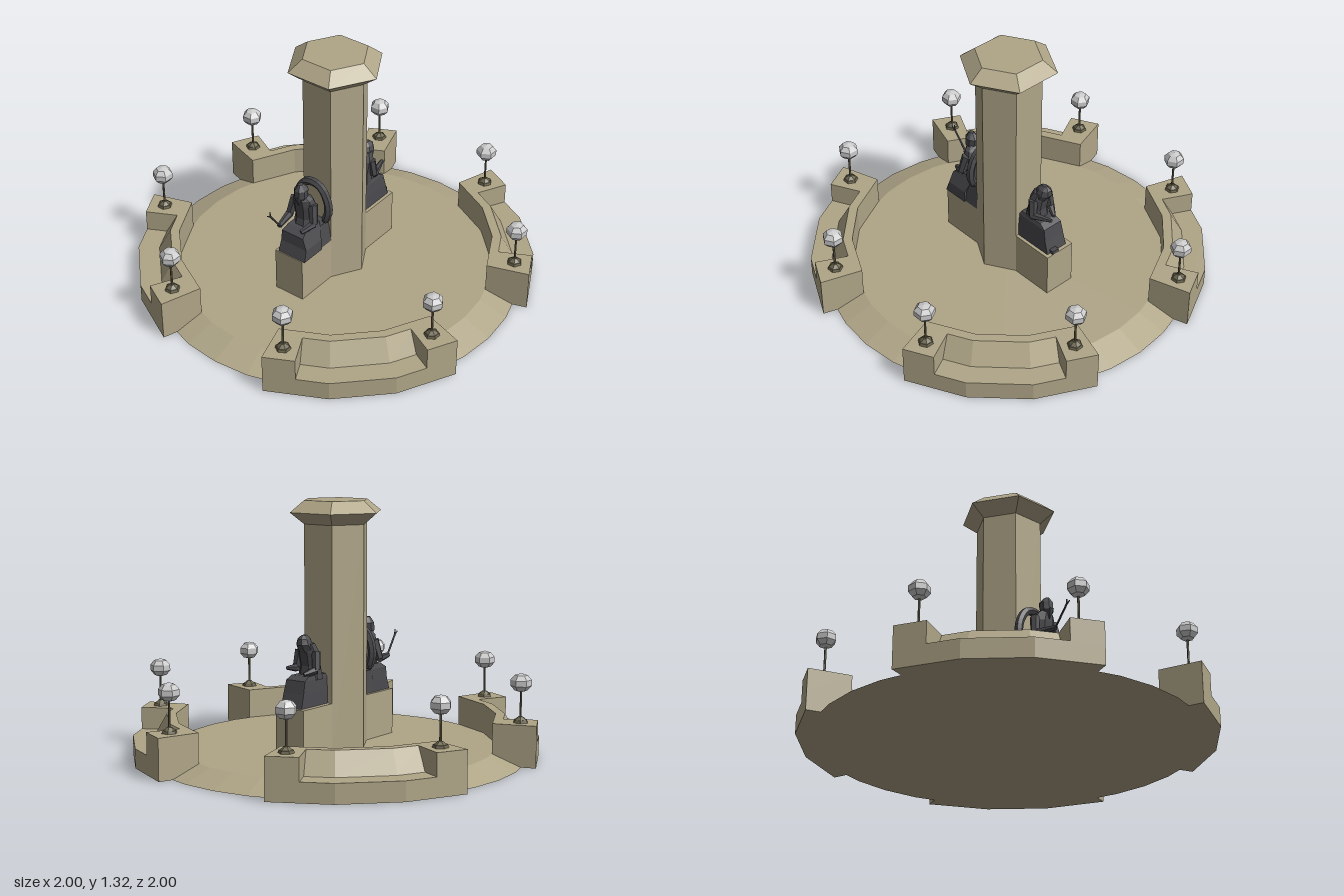
import * as THREE from 'three';

const stone = new THREE.MeshStandardMaterial({ color: 0xb0a688, flatShading: true });
const bronze = new THREE.MeshStandardMaterial({ color: 0x4a4a4e, flatShading: true });
const iron = new THREE.MeshStandardMaterial({ color: 0x6e6850, flatShading: true });
const glass = new THREE.MeshStandardMaterial({ color: 0xcccccc, flatShading: true });

function add(parent, name, geometry, material, x = 0, y = 0, z = 0) {
  const mesh = new THREE.Mesh(geometry, material);
  mesh.name = name;
  mesh.position.set(x, y, z);
  parent.add(mesh);
  return mesh;
}

// Closed solid through plan outlines: sections = [[y, [[x, z], ...]], ...] from bottom to top
function loft(sections) {
  const flat = (pts) => pts.map(([x, z]) => new THREE.Vector2(x, -z));
  const flip = THREE.ShapeUtils.area(flat(sections[0][1])) < 0;
  const rings = sections.map(([y, pts]) => [y, flip ? [...pts].reverse() : pts]);
  const n = rings[0][1].length;
  const pos = [], index = [];
  rings.forEach(([y, pts]) => pts.forEach(([x, z]) => pos.push(x, y, z)));
  for (let r = 0; r < rings.length - 1; r++) {
    for (let i = 0; i < n; i++) {
      const a = r * n + i, b = r * n + (i + 1) % n;
      index.push(a, b, b + n, a, b + n, a + n);
    }
  }
  const last = (rings.length - 1) * n;
  THREE.ShapeUtils.triangulateShape(flat(rings[0][1]), []).forEach(([a, b, c]) => index.push(a, c, b));
  THREE.ShapeUtils.triangulateShape(flat(rings[rings.length - 1][1]), [])
    .forEach(([a, b, c]) => index.push(last + a, last + b, last + c));
  const g = new THREE.BufferGeometry();
  g.setAttribute('position', new THREE.Float32BufferAttribute(pos, 3));
  g.setIndex(index);
  const out = g.toNonIndexed();
  out.computeVertexNormals();
  return out;
}

// Elliptical cross-section for the figures
function oval(y, x, z, rx, rz, n = 8) {
  return [y, Array.from({ length: n }, (_, i) => {
    const a = (i + 0.5) * 2 * Math.PI / n;
    return [x + rx * Math.cos(a), z + rz * Math.sin(a)];
  })];
}

function rect(y, x0, x1, z0, z1) {
  return [y, [[x0, z0], [x1, z0], [x1, z1], [x0, z1]]];
}

// Tapered limb or rod between two points
function rod(parent, name, from, to, r0, r1, material = bronze, sides = 6) {
  const a = new THREE.Vector3(...from), b = new THREE.Vector3(...to);
  const dir = b.clone().sub(a);
  const mesh = add(parent, name, new THREE.CylinderGeometry(r1, r0, dir.length(), sides), material);
  mesh.position.copy(a).add(b).multiplyScalar(0.5);
  mesh.quaternion.setFromUnitVectors(new THREE.Vector3(0, 1, 0), dir.normalize());
  return mesh;
}

// Points on the 18-degree polygon; 27 and 63 degrees lie on the middle of an edge
function arc(radius, degrees) {
  return degrees.map((d) => {
    const r = radius * (d % 18 ? Math.cos(Math.PI / 20) : 1);
    const a = THREE.MathUtils.degToRad(d);
    return [r * Math.cos(a), r * Math.sin(a)];
  });
}
const band = (inner, outer, degrees) => [...arc(outer, degrees), ...arc(inner, degrees).reverse()];

function makeLamp() {
  const lamp = new THREE.Group();
  lamp.name = 'lamp';
  add(lamp, 'lampFoot', new THREE.CylinderGeometry(0.036, 0.04, 0.014, 6), iron, 0, 0.007);
  add(lamp, 'lampCollar', new THREE.CylinderGeometry(0.012, 0.032, 0.016, 6), iron, 0, 0.022);
  add(lamp, 'lampStem', new THREE.CylinderGeometry(0.006, 0.006, 0.15, 6), iron, 0, 0.09);
  add(lamp, 'lampGlobe', new THREE.SphereGeometry(0.056, 6, 5), glass, 0, 0.203).scale.y = 0.86;
  return lamp;
}

// One quarter wall: a bench facing outward between two piers with lamps
function makeBench() {
  const bench = new THREE.Group();
  bench.name = 'bench';
  const inner = 0.827, outer = 1.052, seatY = 0.1, topY = 0.215;
  const mid = [27, 36, 54, 63];
  const lower = band(inner, outer, [18, 36, 54, 72]);
  add(bench, 'benchSeat', loft([[0, lower], [seatY, lower]]), stone);
  add(bench, 'benchBack', loft([[seatY, band(inner, 0.94, mid)], [topY, band(inner, 0.875, mid)]]), stone);
  for (const ends of [[18, 27], [63, 72]]) {
    const plan = band(inner, outer, ends);
    add(bench, 'pier', loft([[seatY, plan], [topY, plan]]), stone);
  }
  for (const [x, z] of [[0.365, 0.885], [0.875, 0.365]]) {
    const lamp = makeLamp();
    lamp.position.set(x, topY, z);
    bench.add(lamp);
  }
  return bench;
}

// Seated figure with a forked staff and a curling mantle behind the shoulders
function makeFrontFigure() {
  const f = new THREE.Group();
  f.name = 'frontFigure';
  add(f, 'seat', loft([rect(0.3, -0.07, 0.09, 0.15, 0.3), rect(0.42, -0.065, 0.07, 0.15, 0.29)]), bronze);
  add(f, 'legs', loft([rect(0.3, -0.07, 0.1, 0.24, 0.385), rect(0.36, -0.068, 0.095, 0.24, 0.365),
    rect(0.42, -0.065, 0.07, 0.22, 0.36), rect(0.445, -0.055, 0.06, 0.21, 0.32)]), bronze);
  add(f, 'torso', loft([oval(0.41, 0, 0.245, 0.068, 0.07), oval(0.48, 0, 0.245, 0.058, 0.05),
    oval(0.56, 0, 0.255, 0.07, 0.05), oval(0.6, 0, 0.265, 0.055, 0.042), oval(0.62, 0, 0.275, 0.028, 0.028)]), bronze);
  add(f, 'head', loft([oval(0.595, 0, 0.285, 0.022, 0.02), oval(0.62, 0, 0.285, 0.036, 0.036),
    oval(0.66, 0, 0.28, 0.036, 0.04), oval(0.69, 0, 0.285, 0.012, 0.016)]), bronze);
  add(f, 'beard', new THREE.ConeGeometry(0.022, 0.06, 5), bronze, 0, 0.595, 0.305).rotation.x = Math.PI;
  for (const s of [-1, 1]) {
    const elbow = [s * 0.078, 0.475, 0.28];
    rod(f, 'upperArm', [s * 0.058, 0.575, 0.26], elbow, 0.026, 0.022);
    rod(f, 'forearm', elbow, s < 0 ? [-0.05, 0.475, 0.4] : [0.05, 0.45, 0.35], 0.022, 0.013);
  }
  const curl = [[-0.08, 0.45], [-0.098, 0.5], [-0.09, 0.57], [-0.05, 0.635], [0, 0.65],
    [0.05, 0.635], [0.09, 0.57], [0.098, 0.5], [0.08, 0.45]]
    .map(([x, y]) => new THREE.Vector3(x, y, 0.185));
  add(f, 'mantle', new THREE.TubeGeometry(new THREE.CatmullRomCurve3(curl), 20, 0.022, 6), bronze);
  for (const x of [-0.08, 0.08]) add(f, 'mantleEnd', new THREE.SphereGeometry(0.022, 6, 4), bronze, x, 0.45, 0.185);
  rod(f, 'staff', [-0.05, 0.46, 0.385], [-0.045, 0.58, 0.475], 0.005, 0.005);
  for (const [y, z] of [[0.605, 0.475], [0.592, 0.496]]) {
    rod(f, 'staffProng', [-0.045, 0.576, 0.472], [-0.045, y, z], 0.004, 0.003);
  }
  return f;
}

// Hooded figure bowed forward with one hand held out, modelled facing +z
function makeBackFigure() {
  const f = new THREE.Group();
  f.name = 'backFigure';
  add(f, 'robe', loft([rect(0.3, -0.07, 0.06, 0.15, 0.37), rect(0.37, -0.068, 0.058, 0.15, 0.35),
    rect(0.435, -0.062, 0.055, 0.15, 0.335), rect(0.455, -0.055, 0.05, 0.16, 0.3)]), bronze);
  add(f, 'foot', new THREE.BoxGeometry(0.04, 0.02, 0.06), bronze, -0.03, 0.31, 0.36);
  add(f, 'torso', loft([oval(0.43, 0, 0.215, 0.065, 0.06), oval(0.5, 0, 0.22, 0.058, 0.046),
    oval(0.57, 0, 0.235, 0.062, 0.046), oval(0.615, 0, 0.25, 0.045, 0.04)]), bronze);
  add(f, 'hood', loft([oval(0.57, 0, 0.24, 0.045, 0.045), oval(0.61, 0, 0.265, 0.042, 0.048),
    oval(0.64, 0, 0.27, 0.03, 0.04), oval(0.658, 0, 0.27, 0.01, 0.018)]), bronze);
  for (const s of [-1, 1]) {
    const elbow = [s * 0.062, 0.485, 0.25];
    rod(f, 'upperArm', [s * 0.052, 0.575, 0.24], elbow, 0.024, 0.022);
    rod(f, 'forearm', elbow, s < 0 ? [-0.035, 0.5, 0.36] : [0.03, 0.465, 0.31], 0.022, 0.01);
  }
  return f;
}

export function createModel() {
  const model = new THREE.Group();
  model.name = 'plazaMonument';

  // Round platform with a sloping rim
  add(model, 'platform', new THREE.CylinderGeometry(0.83, 0.98, 0.06, 32), stone, 0, 0.03);

  // Four benches around the platform
  for (let i = 0; i < 4; i++) {
    const bench = makeBench();
    bench.rotation.y = i * Math.PI / 2;
    model.add(bench);
  }

  // Hexagonal column and its capital, corners pointing along x
  const hex = (top, bottom, h) => new THREE.CylinderGeometry(top, bottom, h, 6).rotateY(Math.PI / 6);
  add(model, 'column', hex(0.175, 0.175, 1.15), stone, 0, 0.63);
  add(model, 'capitalLower', hex(0.253, 0.175, 0.06), stone, 0, 1.232);
  add(model, 'capitalUpper', hex(0.175, 0.253, 0.06), stone, 0, 1.292);

  // Pedestals and seated figures, front and back
  for (const s of [-1, 1]) {
    add(model, 'pedestal', new THREE.BoxGeometry(0.175, 0.245, 0.27), stone, 0, 0.1775, s * 0.255);
  }
  const back = makeBackFigure();
  back.rotation.y = Math.PI;
  model.add(makeFrontFigure(), back);

  return model;
}
